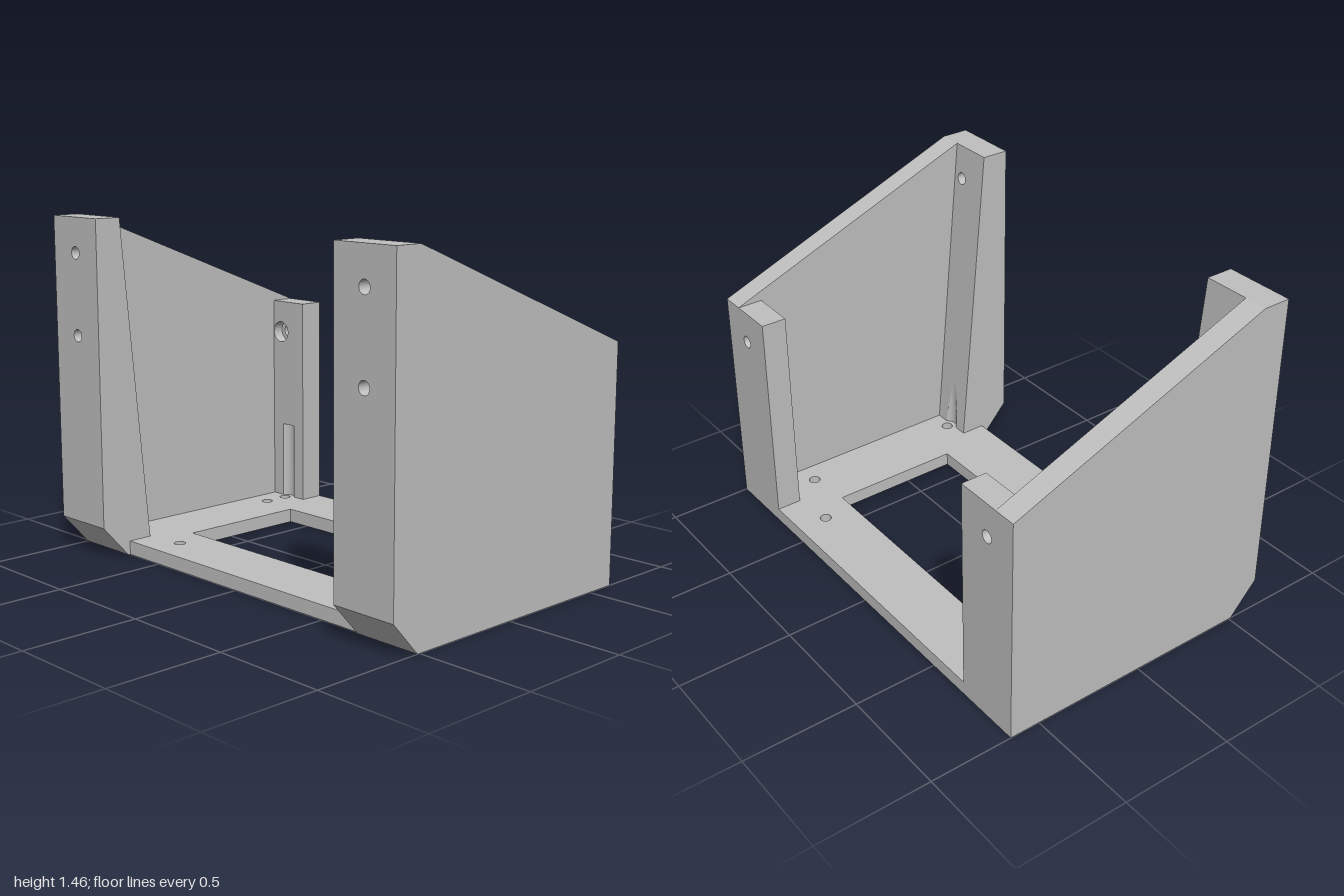
import * as THREE from 'three';

const R = 0.045;      // radius of the screw channels
const FLOOR = 0.06;   // floor plate thickness
const FRONT = 0.635, BACK = -0.635;

// inner face of the front posts leans towards the front as it rises
const slope = (y) => 0.39 + (y - FLOOR) * 0.0896;

function polygon(points) {
  return new THREE.Shape(points.map(([a, b]) => new THREE.Vector2(a, b)));
}

function rectangle(x0, y0, x1, y1) {
  return polygon([[x0, y0], [x1, y0], [x1, y1], [x0, y1]]);
}

function addHole(shape, x, y, r) {
  const hole = new THREE.Path();
  hole.absarc(x, y, r, 0, Math.PI * 2, true);
  shape.holes.push(hole);
}

function extrude(shape, depth) {
  return new THREE.ExtrudeGeometry(shape, { depth, bevelEnabled: false, curveSegments: 16 });
}

// upright slab between z0 and z1 with round holes [x, y, r]
function postLayer(s, y0, y1, z0, z1, holes) {
  const shape = rectangle(s * 0.8 - 0.1, y0, s * 0.8 + 0.1, y1);
  holes.forEach(([x, y, r]) => addHole(shape, s * x, y, r));
  return extrude(shape, z1 - z0).translate(0, 0, z0);
}

// post foot with a vertical round channel cut into its inner face
// dir +1: the body lies in front of the channel, -1: behind it
function channelBlock(s, ys, dir, channelZ, innerZ, outerZ) {
  const inner = 16, nx = inner + 2, ny = ys.length - 1;
  const geo = new THREE.BoxGeometry(1, 1, 1, nx, ny, 1);
  const p = geo.attributes.position;
  for (let i = 0; i < p.count; i++) {
    const col = Math.round((p.getX(i) + 0.5) * nx);
    const y = ys[Math.round((p.getY(i) + 0.5) * ny)];
    const dx = col === 0 ? -0.1 : col === nx ? 0.1 : -R * Math.cos(((col - 1) / inner) * Math.PI);
    let z = outerZ(y);
    if (p.getZ(i) * dir < 0) {
      const w = Math.sqrt(Math.max(0, R * R - dx * dx));
      z = innerZ(y);
      if (w > 0) z = dir > 0 ? Math.max(z, channelZ + w) : Math.min(z, channelZ - w);
    }
    p.setXYZ(i, s * 0.8 + dx, y, z);
  }
  const flat = geo.toNonIndexed();
  flat.computeVertexNormals();
  return flat;
}

export function createModel() {
  const model = new THREE.Group();
  model.name = 'bracket';
  const grey = new THREE.MeshStandardMaterial({ color: 0xbfbfbf });
  grey.name = 'grey';
  const add = (name, geo) => {
    const mesh = new THREE.Mesh(geo, grey);
    mesh.name = name;
    model.add(mesh);
  };

  // floor plate with window and screw holes (shape y is -z)
  const plate = rectangle(-0.9, -0.5, 0.9, -BACK);
  const window = new THREE.Path();
  window.moveTo(-0.61, -0.225).lineTo(-0.61, 0.36).lineTo(0.605, 0.36).lineTo(0.605, -0.225).closePath();
  plate.holes.push(window);
  const screws = [[0.52, -0.5], [-0.525, 0.365]];
  for (const s of [1, -1]) screws.push([s * 0.8, -0.5], [s * 0.8, -0.385], [s * 0.8, 0.365]);
  screws.forEach(([x, z]) => addHole(plate, x, -z, 0.025));
  add('floorPlate', extrude(plate, FLOOR).rotateX(-Math.PI / 2));

  for (const s of [1, -1]) {
    const side = s > 0 ? 'left' : 'right';

    // side wall with sloping top and chamfered front toe
    const wall = polygon([[FRONT, 0.14], [FRONT, 1.455], [0.515, 1.455], [BACK, 1.0], [BACK, 0], [0.51, 0]]);
    add(side + 'Wall', extrude(wall, 0.1).rotateY(-Math.PI / 2).translate(s > 0 ? 1 : -0.9, 0, 0));

    // front post: chamfered foot, leaning back layer, blind hole in the front layer
    const ys = [0, FLOOR, 0.1, 0.14, 0.17, 0.2, 0.23, 0.26, 0.285];
    add(side + 'FrontPostFoot', channelBlock(s, ys, 1, 0.365,
      (y) => (y === 0 ? 0.5 : slope(y)),
      (y) => (y < 0.14 ? 0.51 + (y / 0.14) * 0.125 : FRONT)));
    add(side + 'FrontPostFace', postLayer(s, 0.285, 1.455, 0.535, FRONT,
      [[0.85, 1.305, 0.027], [0.85, 0.955, 0.027]]));
    const rear = postLayer(s, 0.285, 1.455, 0.4, 0.535, [[0.85, 1.305, 0.027]]);
    const p = rear.attributes.position;
    for (let i = 0; i < p.count; i++) if (p.getZ(i) < 0.45) p.setZ(i, slope(p.getY(i)));
    rear.computeVertexNormals();
    add(side + 'FrontPostRear', rear);

    // back post: channelled foot, counterbored upper part
    add(side + 'BackPostFoot', channelBlock(s, [FLOOR, 0.41], -1, -0.5, () => -0.525, () => BACK));
    add(side + 'BackPostOuter', postLayer(s, 0.41, 1.0, BACK, -0.575, [[0.85, 0.855, 0.027]]));
    add(side + 'BackPostInner', postLayer(s, 0.41, 1.0, -0.575, -0.525, [[0.85, 0.855, 0.048]]));
  }
  return model;
}
